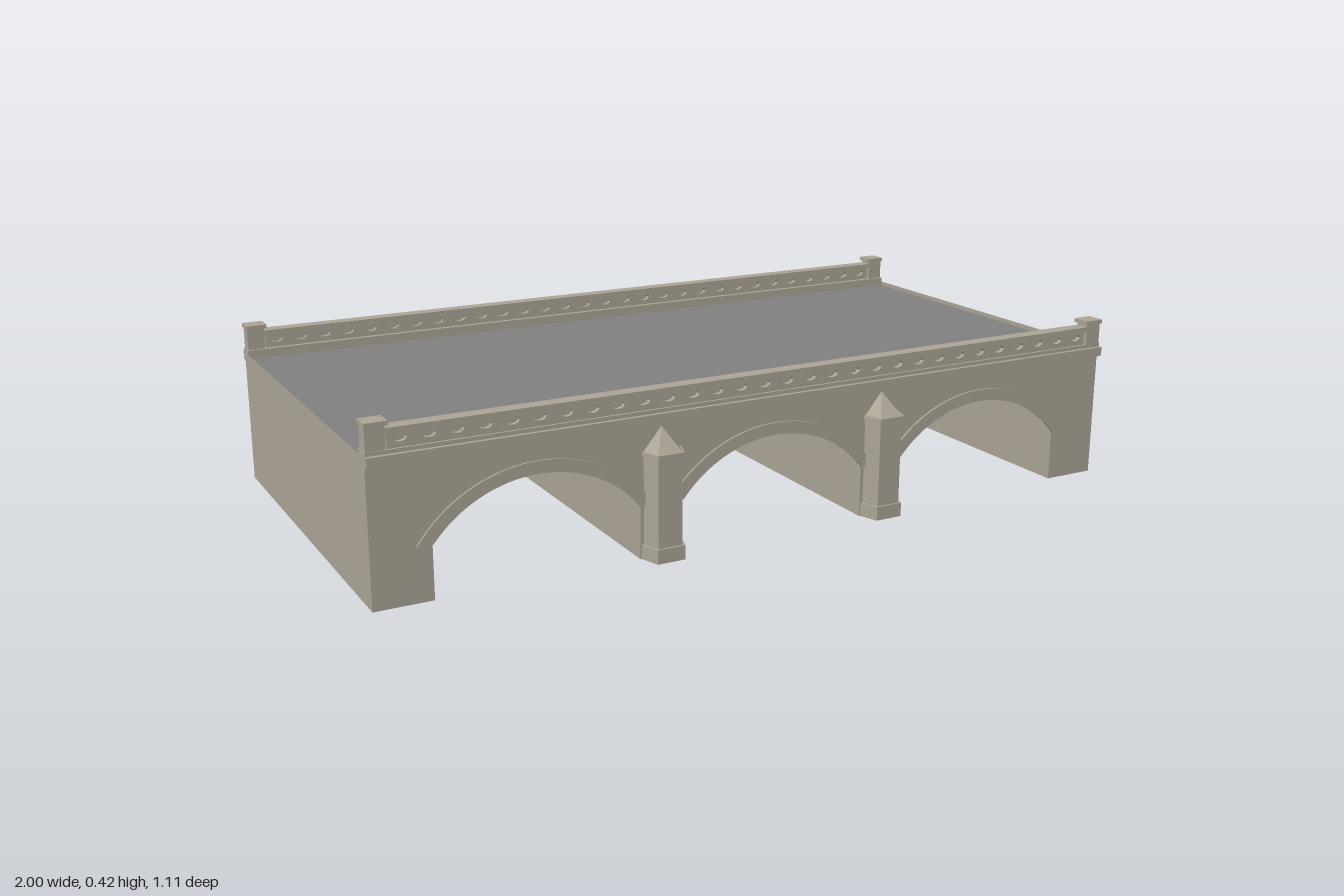
import * as THREE from 'three';

const stone = new THREE.MeshStandardMaterial({ color: 0xaca596, side: THREE.DoubleSide, flatShading: true });
stone.name = 'stone';
const asphalt = new THREE.MeshStandardMaterial({ color: 0x808080, side: THREE.DoubleSide });
asphalt.name = 'asphalt';

const FACE = 0.506;                 // z of the facade
const ARCHES = [-0.61, 0, 0.61];    // arch centres
const PIERS = [-0.305, 0.305];
const HALF = 0.25, SPRING = 0.13, RADIUS = 0.32, CENTRE_Y = -0.07;

function add(parent, name, geometry, x = 0, y = 0, z = 0, material = stone) {
  const mesh = new THREE.Mesh(geometry, material);
  mesh.name = name;
  mesh.position.set(x, y, z);
  parent.add(mesh);
  return mesh;
}

// Box given by its lower and upper corners
function block(parent, name, [x0, y0, z0], [x1, y1, z1], material = stone) {
  return add(parent, name, new THREE.BoxGeometry(x1 - x0, y1 - y0, z1 - z0),
    (x0 + x1) / 2, (y0 + y1) / 2, (z0 + z1) / 2, material);
}

// Upright sheet across the bridge at a given x
function crossWall(parent, name, x, height) {
  const wall = add(parent, name, new THREE.PlaneGeometry(2 * FACE, height), x, height / 2, 0);
  wall.rotation.y = x < 0 ? -Math.PI / 2 : Math.PI / 2;
}

// Spandrel wall with three arched openings
function facadeGeometry() {
  const shape = new THREE.Shape();
  const a = Math.asin((SPRING - CENTRE_Y) / RADIUS);
  shape.moveTo(-1, 0);
  for (const c of ARCHES) {
    shape.lineTo(c - HALF, 0);
    shape.lineTo(c - HALF, SPRING);
    shape.absarc(c, CENTRE_Y, RADIUS, Math.PI - a, a, true);
    shape.lineTo(c + HALF, 0);
  }
  shape.lineTo(1, 0);
  shape.lineTo(1, 0.335);
  shape.lineTo(-1, 0.335);
  return new THREE.ShapeGeometry(shape, 24);
}

// Raised band around an arch
function archRingGeometry() {
  const outer = RADIUS + 0.03;
  const rise = SPRING - CENTRE_Y;
  const a = Math.asin(rise / RADIUS), b = Math.asin(rise / outer);
  const shape = new THREE.Shape();
  shape.absarc(0, CENTRE_Y, outer, b, Math.PI - b, false);
  shape.absarc(0, CENTRE_Y, RADIUS, Math.PI - a, a, true);
  return new THREE.ExtrudeGeometry(shape, { depth: 0.005, bevelEnabled: false, curveSegments: 24 });
}

// Half-hexagon plan, standing on y = 0 and projecting toward +z
function halfHexPlan(wide, narrow, depth) {
  return [[-wide, 0], [-narrow, depth], [narrow, depth], [wide, 0]];
}
function halfHexPrism(wide, narrow, depth, height) {
  const points = halfHexPlan(wide, narrow, depth).map(([x, z]) => new THREE.Vector2(x, -z));
  const geometry = new THREE.ExtrudeGeometry(new THREE.Shape(points), { depth: height, bevelEnabled: false });
  return geometry.rotateX(-Math.PI / 2);
}
function halfHexRoof(wide, narrow, depth, height) {
  const plan = halfHexPlan(wide, narrow, depth);
  const positions = [];
  for (let i = 0; i < 3; i++) {
    const [p, q] = [plan[i], plan[i + 1]];
    positions.push(p[0], 0, p[1], q[0], 0, q[1], 0, height, 0);
  }
  const geometry = new THREE.BufferGeometry();
  geometry.setAttribute('position', new THREE.Float32BufferAttribute(positions, 3));
  geometry.computeVertexNormals();
  return geometry;
}

function buttress(x) {
  const group = new THREE.Group();
  group.name = 'buttress';
  group.position.set(x, 0, FACE);
  add(group, 'buttressPlinth', halfHexPrism(0.052, 0.036, 0.049, 0.035));
  add(group, 'buttressShaft', halfHexPrism(0.046, 0.031, 0.044, 0.22), 0, 0.033);
  add(group, 'buttressMoulding', halfHexPrism(0.05, 0.034, 0.049, 0.01), 0, 0.25);
  add(group, 'buttressRoof', halfHexRoof(0.046, 0.031, 0.044, 0.055), 0, 0.26);
  return group;
}

// Balustrade panel pierced by a row of small openings
function piercedPanel() {
  const shape = new THREE.Shape([[-0.95, 0.355], [0.95, 0.355], [0.95, 0.395], [-0.95, 0.395]]
    .map(([x, y]) => new THREE.Vector2(x, y)));
  const count = 30;
  for (let i = 0; i < count; i++) {
    const hole = new THREE.Path();
    hole.absellipse((i - (count - 1) / 2) * 0.0635, 0.378, 0.016, 0.009, 0, Math.PI * 2, true);
    shape.holes.push(hole);
  }
  return new THREE.ExtrudeGeometry(shape, { depth: 0.026, bevelEnabled: false, curveSegments: 4 });
}

// One long side: facade, rings, buttresses, cornice and parapet
function longSide(name) {
  const side = new THREE.Group();
  side.name = name;
  add(side, 'facade', facadeGeometry(), 0, 0, FACE);
  for (const x of ARCHES) add(side, 'archRing', archRingGeometry(), x, 0, FACE);
  for (const x of PIERS) side.add(buttress(x));
  block(side, 'cornice', [-1, 0.325, 0.475], [1, 0.348, 0.522]);
  block(side, 'parapetBase', [-1, 0.32, 0.467], [1, 0.357, 0.512]);
  add(side, 'balustrade', piercedPanel(), 0, 0, 0.48);
  block(side, 'balustradeCore', [-0.95, 0.355, 0.491], [0.95, 0.395, 0.495]);
  block(side, 'parapetRail', [-0.96, 0.391, 0.475], [0.96, 0.404, 0.511]);
  for (const s of [-1, 1]) {
    const post = block(side, 'endPost', [-0.022, 0.345, 0.474], [0.022, 0.412, 0.511]);
    post.position.x = s * 0.976;
    const cap = block(side, 'endPostCap', [-0.026, 0.411, 0.469], [0.026, 0.421, 0.516]);
    cap.position.x = s * 0.974;
  }
  return side;
}

export function createModel() {
  const bridge = new THREE.Group();
  bridge.name = 'archBridge';

  // Road deck between the parapets
  block(bridge, 'roadDeck', [-0.998, 0.322, -FACE + 0.002], [0.998, 0.334, FACE - 0.002], asphalt);

  // End walls and the walls lining each opening up to the arch spring
  for (const x of [-1, 1]) crossWall(bridge, 'endWall', x, 0.345);
  for (const c of ARCHES) {
    for (const s of [-1, 1]) crossWall(bridge, 'pierWall', c + s * HALF, SPRING);
  }

  bridge.add(longSide('frontSide'));
  const back = longSide('backSide');
  back.rotation.y = Math.PI;
  bridge.add(back);
  return bridge;
}
